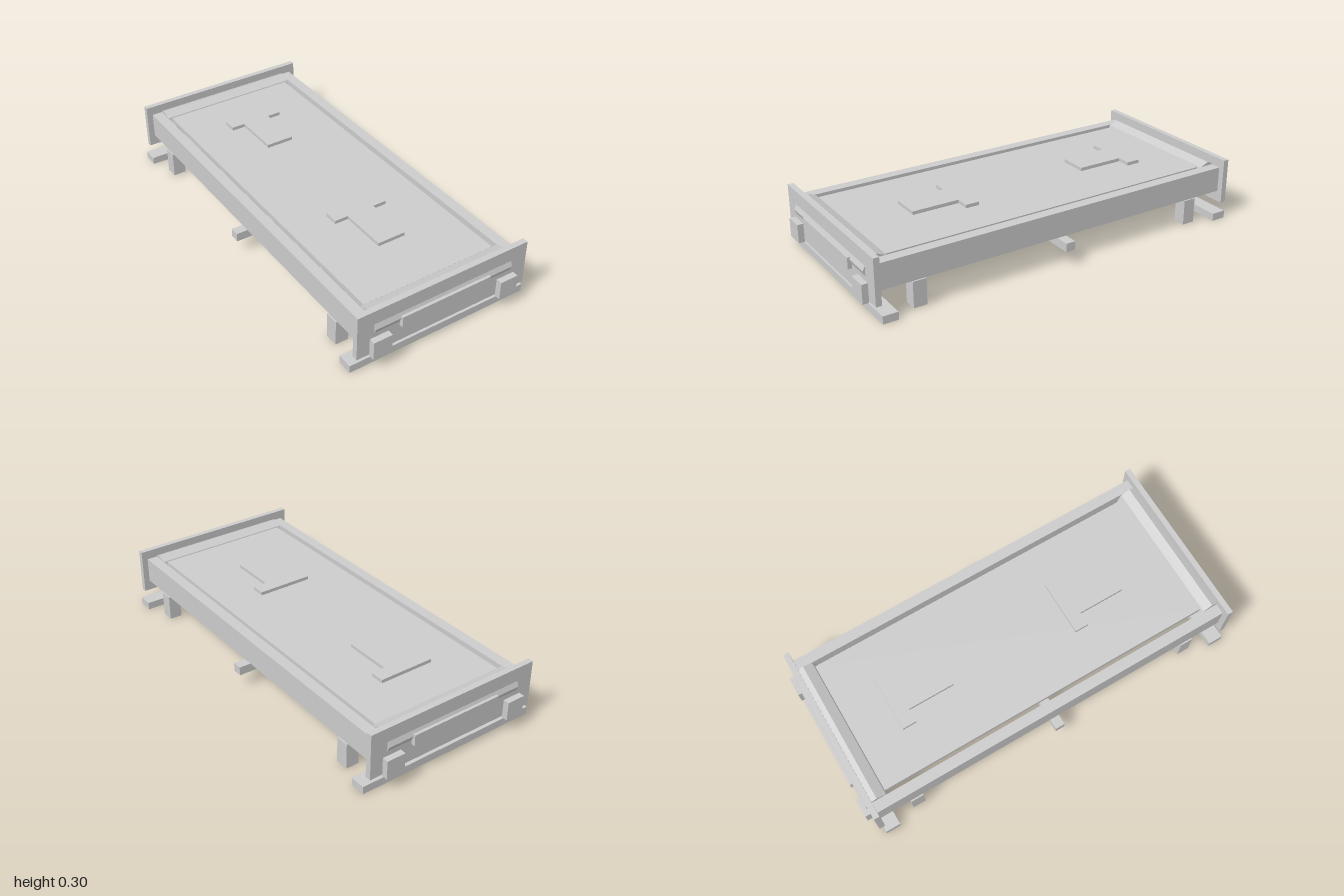
import * as THREE from 'three';

export function createModel() {
  const model = new THREE.Group();
  model.name = 'conveyorBed';
  const grey = new THREE.MeshStandardMaterial({ color: 0xcccccc });
  grey.name = 'light grey';

  // Box given by its limits on each axis
  function box(name, x0, x1, y0, y1, z0, z1) {
    const mesh = new THREE.Mesh(new THREE.BoxGeometry(x1 - x0, y1 - y0, z1 - z0), grey);
    mesh.position.set((x0 + x1) / 2, (y0 + y1) / 2, (z0 + z1) / 2);
    mesh.name = name;
    model.add(mesh);
  }
  // Box limits mirrored to the negative side when s is -1
  const side = (s, a, b) => (s > 0 ? [a, b] : [-b, -a]);

  // Deck and centre cross bar
  box('deck', -0.345, 0.345, 0.225, 0.25, -0.865, 0.865);
  box('centreCrossBar', -0.47, 0.47, 0.075, 0.118, -0.024, 0.024);

  // Long side rails
  for (const s of [1, -1]) {
    box(s > 0 ? 'leftRail' : 'rightRail', ...side(s, 0.367, 0.42), 0.13, 0.256, -0.943, 0.943);
  }

  // Eight-sided end roller
  const rollerGeometry = new THREE.CylinderGeometry(0.065, 0.065, 0.73, 8).toNonIndexed();
  rollerGeometry.computeVertexNormals();

  for (const e of [1, -1]) {
    const end = e > 0 ? 'front' : 'back';
    box(end + 'Panel', -0.45, 0.45, 0.076, 0.302, ...side(e, 0.942, 0.97));
    box(end + 'Plate', -0.235, 0.235, 0.163, 0.218, ...side(e, 0.97, 0.99));
    box(end + 'FootBar', -0.47, 0.47, 0, 0.038, ...side(e, 0.878, 0.952));

    const roller = new THREE.Mesh(rollerGeometry, grey);
    roller.name = end + 'Roller';
    roller.rotation.z = Math.PI / 2;
    roller.position.set(0, 0.208, e * 0.915);
    model.add(roller);

    // Bumper blocks and legs
    for (const s of [1, -1]) {
      const hand = s > 0 ? 'Left' : 'Right';
      box(end + hand + 'Bumper', ...side(s, 0.292, 0.386), 0.068, 0.161, ...side(e, 0.97, 1));
      box(end + hand + 'Leg', ...side(s, 0.363, 0.427), 0.003, 0.13, ...side(e, 0.72, 0.785));
    }
  }

  // Raised pads on the deck: wide head towards the back, narrow stem to the front
  const outline = [[-0.14, 0], [-0.14, -0.07], [-0.071, -0.07], [-0.071, -0.307],
    [0.071, -0.307], [0.071, -0.07], [0.14, -0.07], [0.14, 0]];
  const padShape = new THREE.Shape(outline.map(([x, y]) => new THREE.Vector2(x, y)));
  const padGeometry = new THREE.ExtrudeGeometry(padShape, { depth: 0.017, bevelEnabled: false });
  padGeometry.rotateX(-Math.PI / 2);
  for (const z of [-0.656, 0.283]) {
    const pad = new THREE.Mesh(padGeometry, grey);
    pad.name = z > 0 ? 'frontRaisedPad' : 'backRaisedPad';
    pad.position.set(0, 0.25, z);
    model.add(pad);
  }

  return model;
}
